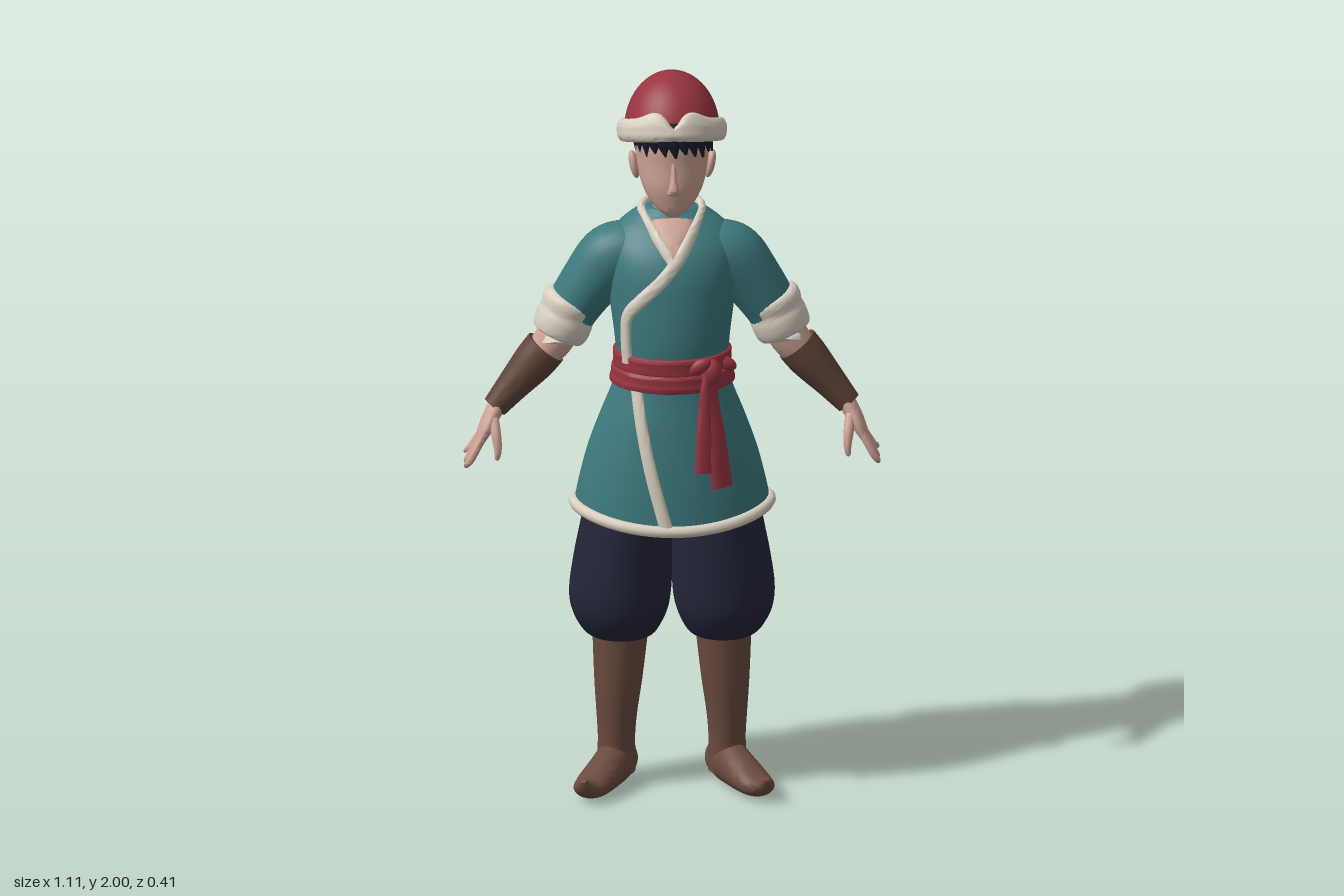
import * as THREE from 'three';
import { toCreasedNormals } from 'three/addons/utils/BufferGeometryUtils.js';

const V = (x, y, z) => new THREE.Vector3(x, y, z);
const mat = (name, color) => Object.assign(new THREE.MeshStandardMaterial({ color }), { name });

// Catmull-Rom resampling of rows [x, y, z, ru, rv]
function smooth(rows, k = 5) {
  const out = [], at = i => rows[Math.max(0, Math.min(rows.length - 1, i))];
  for (let i = 0; i < rows.length - 1; i++) {
    for (let j = 0; j < k; j++) {
      const t = j / k;
      out.push(rows[i].map((b, c) => {
        const a = at(i - 1)[c], d = at(i + 1)[c], e = at(i + 2)[c];
        return b + 0.5 * t * (d - a + t * (2 * a - 5 * b + 4 * d - e + t * (3 * (b - d) + e - a)));
      }));
    }
  }
  out.push(rows[rows.length - 1]);
  return out;
}

// Skin of elliptical sections; level keeps every section horizontal
function loft(rows, { n = 28, k = 5, level = false, ref = () => V(0, 0, 1), warp = null } = {}) {
  const s = smooth(rows, k), pos = [], idx = [], m = s.length;
  s.forEach((r, i) => {
    const a = s[Math.max(0, i - 1)], b = s[Math.min(m - 1, i + 1)], c = V(r[0], r[1], r[2]);
    const t = level ? V(0, 1, 0) : V(b[0] - a[0], b[1] - a[1], b[2] - a[2]).normalize();
    const v = ref(c);
    v.addScaledVector(t, -v.dot(t)).normalize();
    const u = t.clone().cross(v);
    for (let j = 0; j < n; j++) {
      const th = j / n * Math.PI * 2;
      const p = c.clone().addScaledVector(u, r[3] * Math.sin(th)).addScaledVector(v, r[4] * Math.cos(th));
      if (warp) warp(p);
      pos.push(p.x, p.y, p.z);
    }
  });
  for (let i = 0; i < m - 1; i++) for (let j = 0; j < n; j++) {
    const a = i * n + j, b = i * n + (j + 1) % n;
    idx.push(a, b, b + n, a, b + n, a + n);
  }
  pos.push(...s[0].slice(0, 3), ...s[m - 1].slice(0, 3));
  for (let j = 0; j < n; j++) {
    const q = (j + 1) % n;
    idx.push(m * n, q, j, m * n + 1, (m - 1) * n + j, (m - 1) * n + q);
  }
  const g = new THREE.BufferGeometry();
  g.setAttribute('position', new THREE.Float32BufferAttribute(pos, 3));
  g.setIndex(idx);
  return toCreasedNormals(g, 1.0);
}

// Tunic sections, also used to lay trim and sash on the cloth
const TUNIC = [
  [0, .77, 0, .262, .188], [0, .85, .002, .248, .18], [0, .95, .004, .225, .168], [0, 1.05, .01, .193, .15],
  [0, 1.14, .015, .16, .13], [0, 1.2, .015, .15, .127], [0, 1.28, .0125, .155, .133], [0, 1.38, .004, .168, .134],
  [0, 1.46, -.003, .175, .128], [0, 1.52, -.012, .17, .112], [0, 1.57, -.03, .148, .088],
  [0, 1.6, -.043, .112, .07], [0, 1.622, -.046, .075, .055]];
const DENSE = smooth(TUNIC, 8);
function tunicAt(y) {
  let i = 0;
  while (i < DENSE.length - 2 && DENSE[i + 1][1] < y) i++;
  const a = DENSE[i], b = DENSE[i + 1], t = Math.max(0, Math.min(1, (y - a[1]) / (b[1] - a[1])));
  return a.map((q, c) => q + (b[c] - q) * t);
}
function onTunic(x, y, off = 0) {
  const r = tunicAt(y);
  return r[2] + r[4] * Math.sqrt(Math.max(0, 1 - (x / r[3]) ** 2)) + off;
}
const radial = p => V(p.x, 0, p.z + .03);
const hemLift = p => { p.y += .032 * (p.x / .262) ** 2 * Math.max(0, Math.min(1, (1.1 - p.y) / .3)); };
const strip = (pts, w, th, off = 0) => pts.map(([x, y, ww]) => [x, y, onTunic(x, y, off), ww ?? w, th]);

export function createModel() {
  const root = new THREE.Group();
  root.name = 'robedFigure';
  const teal = mat('teal cloth', 0x3d797e), red = mat('red cloth', 0x983440), cream = mat('cream trim', 0xd8cfc0);
  const skin = mat('skin', 0xcda394), brown = mat('boot leather', 0x6b4b3f), dark = mat('bracer leather', 0x5f4337);
  const navy = mat('navy cloth', 0x24263a), black = mat('black hair', 0x171c29);
  const add = (name, geo, m, parent = root) => {
    const o = new THREE.Mesh(geo, m);
    o.name = name;
    parent.add(o);
    return o;
  };
  const ball = (name, m, p, s) => {
    const o = add(name, new THREE.SphereGeometry(1, 20, 14), m);
    o.position.set(...p);
    o.scale.set(...s);
    return o;
  };

  // Tunic with hem, collar and overlap trim
  add('tunic', loft(TUNIC, { n: 48, level: true, warp: hemLift }), teal);
  const hem = [];
  for (let i = 0; i < 32; i++) {
    const a = i / 32 * Math.PI * 2, p = V(.262 * Math.sin(a), .772, .188 * Math.cos(a));
    hemLift(p);
    hem.push(p);
  }
  add('hemTrim', new THREE.TubeGeometry(new THREE.CatmullRomCurve3(hem, true), 96, .016, 10, true), cream);
  add('collar', loft([
    ...strip([[-.122, 1.22], [-.126, 1.29], [-.122, 1.355], [-.085, 1.405], [-.03, 1.46], [.02, 1.52], [.055, 1.572]], .018, .011),
    [.078, 1.605, -.02, .017, .012], [.076, 1.62, -.055, .016, .012], [.045, 1.625, -.092, .016, .012],
    [0, 1.627, -.103, .016, .012], [-.045, 1.625, -.092, .016, .012], [-.076, 1.62, -.055, .016, .012],
    [-.078, 1.605, -.02, .017, .012],
    ...strip([[-.052, 1.572], [-.025, 1.535], [.003, 1.5]], .016, .009)], { n: 12, ref: radial }), cream);
  add('skirtTrim', loft(strip([[-.1, 1.16], [-.086, 1.05], [-.06, .92], [-.02, .77]], .018, .009), { n: 12, ref: radial }), cream);
  add('chestSkin', loft(strip([[0, 1.505, .004], [0, 1.54, .025], [0, 1.575, .048], [0, 1.6, .055]], 0, .011), { n: 16 }), skin);

  // Sash: two wraps, knot and hanging tails
  for (const [y, h, o] of [[1.173, .027, .012], [1.217, .026, .008]]) {
    add('sashWrap', loft([-1, -.75, 0, .75, 1].map((t, i) => {
      const r = tunicAt(y + h * t), e = i % 4 === 0 ? 0 : o;
      return [0, y + h * t, r[2], r[3] + e, r[4] + e];
    }), { n: 48, level: true }), red);
  }
  ball('sashKnot', red, [.1, 1.2, onTunic(.1, 1.2, .012)], [.03, .038, .026]);
  for (const [x, y, tilt] of [[.068, 1.222, .5], [.138, 1.21, -.4]]) {
    ball('sashLoop', red, [x, y, onTunic(x, y, .008)], [.034, .02, .016]).rotation.z = tilt;
  }
  add('sashTailLong', loft(strip([[.095, 1.2, .018], [.102, 1.1, .026], [.115, 1.0, .031], [.128, .89, .034]], 0, .011, .012),
    { n: 12, ref: radial }), red);
  add('sashTailShort', loft(strip([[.09, 1.2, .015], [.084, 1.1, .022], [.082, 1.02, .026], [.08, .935, .028]], 0, .01, .015),
    { n: 12, ref: radial }), red);

  // Neck, head and face
  add('neck', loft([[0, 1.54, -.04, .06, .05], [0, 1.6, -.033, .05, .045], [0, 1.72, -.015, .05, .048]], { level: true }), skin);
  add('head', loft([
    [0, 1.632, .083, .018, .016], [0, 1.65, .062, .045, .048], [0, 1.68, .05, .068, .068], [0, 1.72, .033, .086, .092],
    [0, 1.78, .016, .097, .106], [0, 1.84, .01, .1, .111], [0, 1.9, 0, .09, .098], [0, 1.95, 0, .03, .03]],
  { n: 36, level: true }), skin);
  add('nose', loft([[0, 1.698, .115, .008, .006], [0, 1.708, .122, .018, .02], [0, 1.722, .125, .014, .022],
    [0, 1.75, .122, .009, .015], [0, 1.79, .115, .007, .009]], { n: 14, level: true }), skin);

  // Hair with fringe locks
  add('hair', loft([
    [0, 1.672, -.05, .045, .03], [0, 1.7, -.048, .07, .05], [0, 1.75, -.045, .09, .064], [0, 1.8, -.036, .102, .083],
    [0, 1.835, -.012, .106, .106], [0, 1.85, .006, .108, .119], [0, 1.9, 0, .1, .11]], { n: 36, level: true }), black);
  for (let i = -5; i <= 5; i++) {
    const a = i * .27, x = .101 * Math.sin(a), z = .01 + .112 * Math.cos(a), len = .03 + .012 * ((i + 5) % 3) / 2 + .003 * Math.abs(i);
    add('fringeLock', loft([[x, 1.86, z, .019, .008], [x * 1.01, 1.845, z, .018, .007],
      [x * 1.01 + .006, 1.848 - len, z, .003, .003]], { n: 8, k: 3, ref: p => V(p.x, 0, p.z) }), black);
  }

  // Domed hat with turned-up brim, tilted back
  const hat = new THREE.Group();
  hat.name = 'hat';
  hat.position.set(0, 1.843, -.014);
  hat.rotation.x = -.295;
  root.add(hat);
  add('hatDome', new THREE.SphereGeometry(1, 40, 16, 0, Math.PI * 2, 0, Math.PI / 2).scale(.128, .16, .134), red, hat);
  const peak = p => {
    if (p.z > 0 && p.y > 0) {
      const f = Math.min(1, p.y / .025), x = Math.abs(p.x);
      p.y += f * (.018 * Math.exp(-(((x - .05) / .035) ** 2)) - .028 * Math.exp(-((x / .018) ** 2)));
    }
  };
  add('hatBrim', loft([[.112, -.022], [.128, -.031], [.141, -.025], [.147, -.008], [.147, .012], [.14, .027], [.131, .031], [.118, .02]]
    .map(([r, h]) => [0, h, 0, r, r * 1.03]), { n: 72, k: 3, level: true, warp: peak }), cream, hat);

  // Paired parts
  for (const s of [1, -1]) {
    const S = s > 0 ? 'left' : 'right';
    const limb = (name, m, rows, opt) => add(S + name, loft(rows.map(r => [r[0] * s, ...r.slice(1)]), opt), m);
    ball(S + 'Ear', skin, [s * .102, 1.755, .012], [.013, .04, .022]).rotation.z = -s * .2;

    // Sleeve, rolled cuff, forearm and bracer
    limb('Sleeve', teal, [[.08, 1.52, -.025, .06, .07], [.12, 1.505, -.027, .08, .082], [.165, 1.475, -.03, .09, .086],
      [.22, 1.405, -.035, .08, .08], [.265, 1.335, -.04, .072, .075], [.285, 1.29, -.04, .068, .07]]);
    limb('Cuff', cream, [[.26, 1.37, -.04, .06, .06], [.263, 1.363, -.04, .074, .077], [.27, 1.346, -.04, .079, .082],
      [.278, 1.325, -.04, .075, .078], [.285, 1.307, -.04, .078, .082], [.296, 1.278, -.04, .077, .08],
      [.302, 1.262, -.04, .07, .072], [.302, 1.264, -.04, .05, .05]], { k: 3 });
    limb('Forearm', skin, [[.285, 1.3, -.04, .052, .052], [.315, 1.245, -.04, .053, .053], [.36, 1.19, -.04, .045, .045]]);
    limb('Bracer', dark, [[.336, 1.222, -.042, .058, .055], [.37, 1.18, -.041, .056, .054], [.425, 1.117, -.035, .044, .044],
      [.474, 1.06, -.026, .034, .035]]);

    // Hand
    limb('Palm', skin, [[.46, 1.078, -.024, .024, .028], [.48, 1.045, -.016, .023, .034], [.498, 1.01, -.008, .02, .042],
      [.515, .975, -.004, .014, .041]], { n: 18 });
    [[-.037, .925], [-.013, .906], [.011, .9], [.034, .91]].forEach(([z, y], i) => {
      limb('Finger' + (i + 1), skin, [[.505, .995, z * .8 - .004, .011, .011], [.525, .96, z - .004, .011, .0115],
        [.54, (y + .96) / 2 - .004, z * 1.1 - .004, .01, .0105], [.551, y + .006, z * 1.12 - .004, .007, .007],
        [.553, y, z * 1.12 - .004, .002, .002]], { n: 10, k: 3 });
    });
    limb('Thumb', skin, [[.478, 1.04, .005, .014, .014], [.472, 1.0, .032, .014, .015], [.468, .965, .046, .011, .011],
      [.47, .94, .05, .007, .007], [.471, .935, .05, .002, .002]], { n: 10, k: 3 });

    // Baggy trouser leg
    limb('TrouserLeg', navy, [[.136, .43, -.014, .07, .078], [.137, .428, -.014, .088, .095], [.139, .45, -.014, .108, .118],
      [.14, .5, -.011, .13, .142], [.138, .56, -.009, .137, .149], [.131, .65, -.005, .132, .145],
      [.122, .75, 0, .122, .14], [.116, .83, 0, .116, .135], [.09, .96, 0, .09, .12]], { n: 36, level: true });

    // Boot with upturned toe
    limb('BootShaft', brown, [[.147, .03, -.028, .05, .058], [.148, .08, -.026, .051, .061], [.148, .13, -.023, .05, .062],
      [.147, .2, -.02, .055, .068], [.143, .3, -.016, .065, .076], [.137, .46, -.012, .077, .084]], { level: true });
    limb('BootFoot', brown, [[.122, .045, -.092, .014, .016], [.126, .048, -.082, .036, .04], [.136, .054, -.055, .048, .053],
      [.152, .06, -.01, .05, .062], [.178, .053, .05, .05, .053], [.207, .042, .105, .051, .039],
      [.229, .038, .145, .043, .029], [.241, .052, .175, .025, .019], [.245, .073, .19, .009, .008]],
    { ref: () => V(0, 1, 0), warp: p => { p.y = Math.max(0, p.y); } });
  }
  return root;
}
